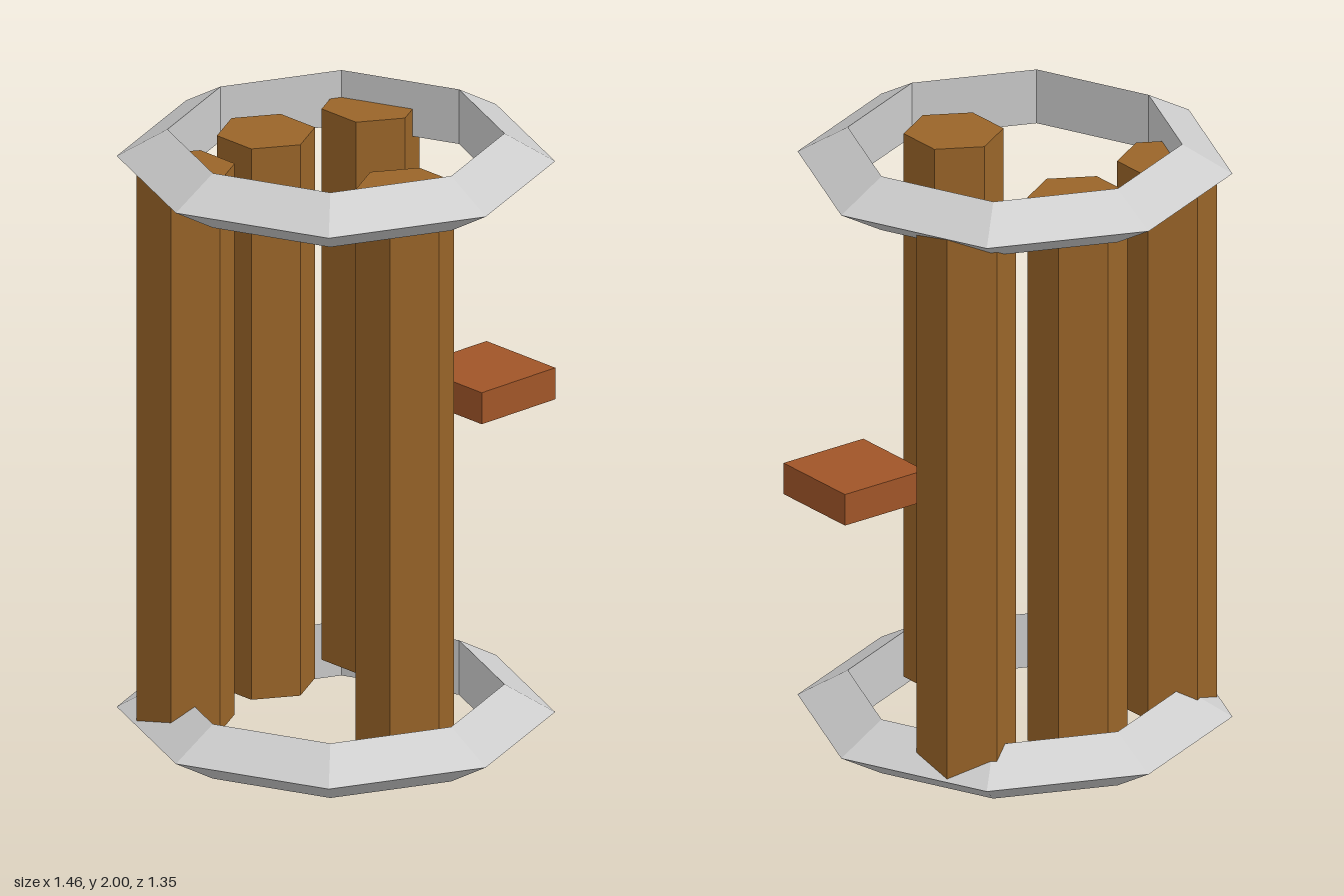
import * as THREE from 'three';

export function createModel() {
  const model = new THREE.Group();
  const metal = new THREE.MeshStandardMaterial({ color: 0xcccccc, flatShading: true });
  const wood = new THREE.MeshStandardMaterial({ color: 0x9a6529, flatShading: true });
  const redWood = new THREE.MeshStandardMaterial({ color: 0xa05528, flatShading: true });
  const axisX = -0.055; // the cage axis is offset by the protruding block

  const add = (name, geometry, material, x, y, z) => {
    const mesh = new THREE.Mesh(geometry, material);
    mesh.name = name;
    mesh.position.set(x, y, z);
    model.add(mesh);
  };

  // Eight-sided rings with a triangular section, point outwards
  const ring = new THREE.TorusGeometry(0.571, 0.104, 3, 8).rotateX(Math.PI / 2);
  add('bottomRing', ring, metal, axisX, 0.09, 0);
  add('topRing', ring, metal, axisX, 1.91, 0);

  // Hexagonal posts
  const post = new THREE.CylinderGeometry(0.155, 0.155, 1.82, 6);
  add('frontPost', post, wood, axisX, 1, 0.31);
  add('backPost', post, wood, axisX, 1, -0.315);
  add('leftPost', post, wood, axisX + 0.39, 1, -0.26);
  add('rightPost', post, wood, axisX - 0.39, 1, -0.26);

  // Side block
  add('sideBlock', new THREE.BoxGeometry(0.31, 0.104, 0.31), redWood, 0.57, 1.003, 0);

  return model;
}
